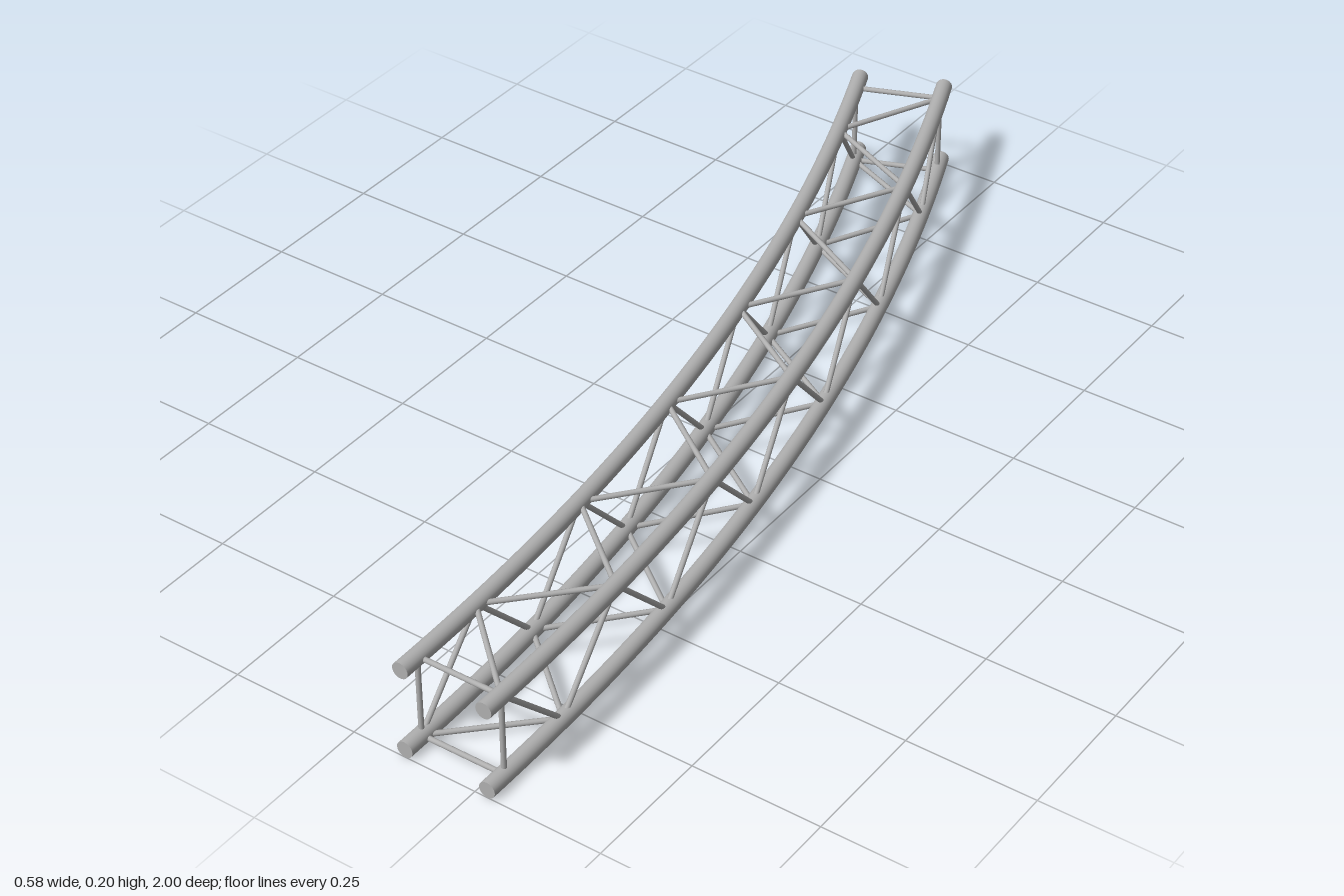
import * as THREE from 'three';

const SWEEP = Math.PI / 8;        // curved segment of 22.5 degrees
const CX = -4.935, CZ = 1;        // centre of the curve
const INNER = 5.042, OUTER = 5.21;
const LOW = 0.016, HIGH = 0.184;  // chord heights
const CHORD_R = 0.016, BRACE_R = 0.005;
const BAYS = 12, MARGIN = 0.0088;

// Point on the curve at a radius, height and angle
const at = (r, y, a) =>
  new THREE.Vector3(CX + r * Math.cos(a), y, CZ - r * Math.sin(a));

export function createModel() {
  const model = new THREE.Group();
  model.name = 'curvedBoxTruss';
  const metal = new THREE.MeshStandardMaterial({ color: 0xb0b0b0 });
  metal.name = 'aluminium';

  const add = (parent, geometry, name) => {
    const mesh = new THREE.Mesh(geometry, metal);
    mesh.name = name;
    parent.add(mesh);
    return mesh;
  };

  const group = (name) => {
    const g = new THREE.Group();
    g.name = name;
    model.add(g);
    return g;
  };

  // Round bar between two points
  const bar = (parent, a, b, name) => {
    const dir = b.clone().sub(a);
    const mesh = add(parent,
      new THREE.CylinderGeometry(BRACE_R, BRACE_R, dir.length(), 12, 1, true), name);
    mesh.position.copy(a).add(b).multiplyScalar(0.5);
    mesh.quaternion.setFromUnitVectors(new THREE.Vector3(0, 1, 0), dir.normalize());
  };

  // Four main chords with flat end caps
  const chords = group('chords');
  for (const r of [INNER, OUTER]) {
    for (const y of [LOW, HIGH]) {
      const tube = new THREE.TorusGeometry(r, CHORD_R, 24, 48, SWEEP);
      tube.rotateX(-Math.PI / 2);
      add(chords, tube, 'chord').position.set(CX, y, CZ);
      const front = add(chords, new THREE.CircleGeometry(CHORD_R, 24), 'frontCap');
      front.position.copy(at(r, y, 0));
      const back = add(chords, new THREE.CircleGeometry(CHORD_R, 24), 'backCap');
      back.position.copy(at(r, y, SWEEP));
      back.rotation.y = Math.PI + SWEEP;
    }
  }

  const node = (i) => MARGIN + (SWEEP - 2 * MARGIN) * i / BAYS;

  // Each face zigzags between an even-node corner and an odd-node corner
  const innerLow = [INNER, LOW], innerHigh = [INNER, HIGH];
  const outerLow = [OUTER, LOW], outerHigh = [OUTER, HIGH];
  const faces = [
    ['innerSide', innerLow, innerHigh],
    ['outerSide', outerHigh, outerLow],
    ['top', outerHigh, innerHigh],
    ['bottom', innerLow, outerLow],
  ];
  for (const [name, even, odd] of faces) {
    const lacing = group(name + 'Lacing');
    const corner = (i) => at(...(i % 2 ? odd : even), node(i));
    for (let i = 0; i < BAYS; i++) {
      bar(lacing, corner(i), corner(i + 1), 'diagonalBrace');
    }
    // Square frame bars at both ends
    for (const i of [0, BAYS]) {
      bar(lacing, at(...even, node(i)), at(...odd, node(i)), 'endBar');
    }
  }

  return model;
}
